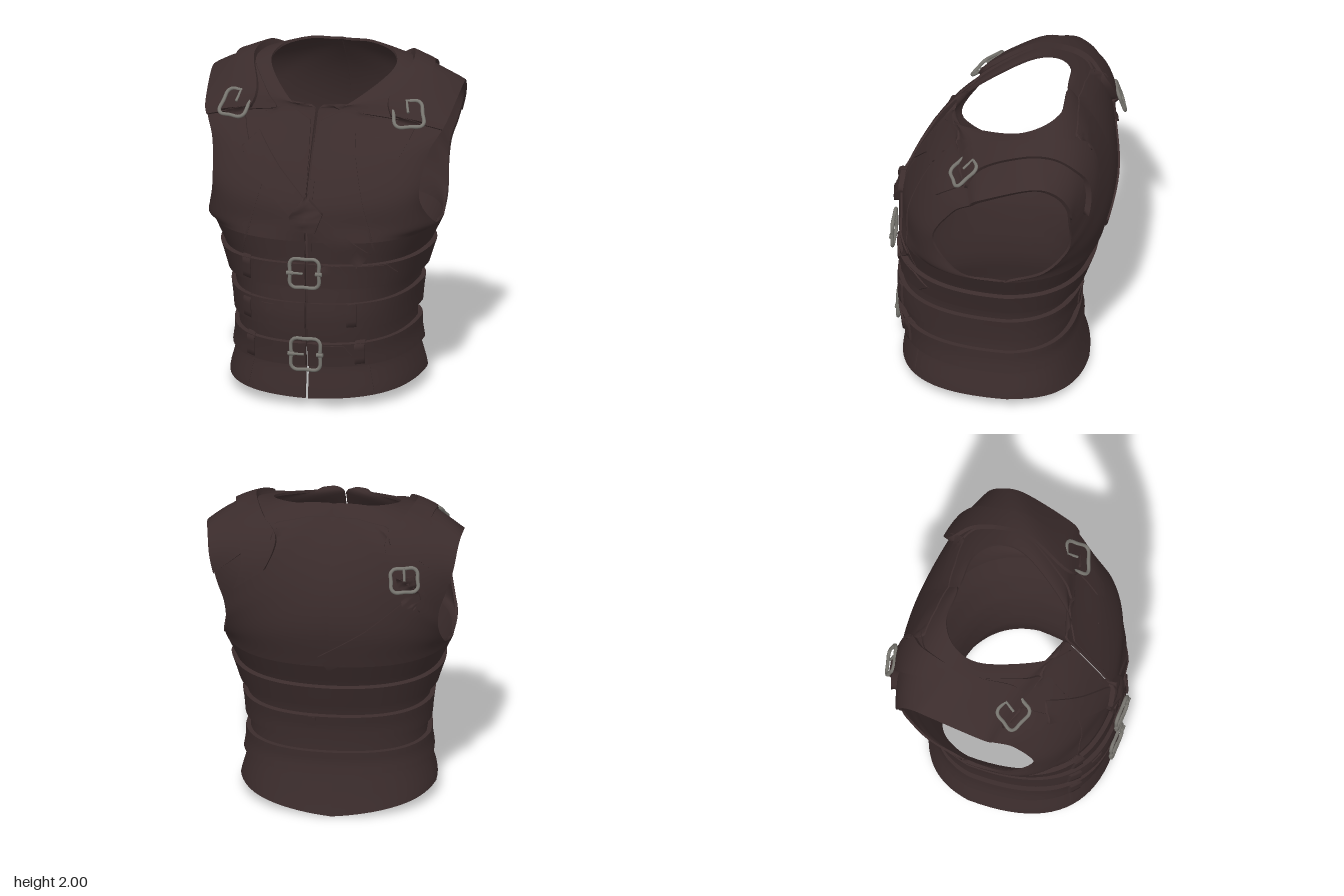
import * as THREE from 'three';

const V = (x, y, z) => new THREE.Vector3(x, y, z);
const lerp = THREE.MathUtils.lerp;
const spline = (pts) => new THREE.CatmullRomCurve3(pts.map((p) => V(...p)));

export function createModel() {
  const group = new THREE.Group();
  const leather = new THREE.MeshStandardMaterial({ color: 0x3b2c2c, side: THREE.DoubleSide });
  leather.name = 'dark leather';
  const metal = new THREE.MeshStandardMaterial({ color: 0x77756f });
  metal.name = 'dull steel';

  // Thick sheet over a surface fn(u, v), between the offsets lo and hi
  function slab(name, fn, nu, nv, lo, hi, dir) {
    const grid = new THREE.BufferGeometry(), P = [], idx = [];
    for (let j = 0; j <= nv; j++) for (let i = 0; i <= nu; i++) P.push(fn(i / nu, j / nv));
    const id = (i, j) => j * (nu + 1) + i;
    for (let j = 0; j < nv; j++) for (let i = 0; i < nu; i++) {
      const a = id(i, j), b = id(i + 1, j), c = id(i + 1, j + 1), d = id(i, j + 1);
      idx.push(a, b, c, a, c, d);
    }
    grid.setFromPoints(P).setIndex(idx);
    grid.computeVertexNormals();
    const n = grid.attributes.normal;
    const shift = (k, h) => P[k].clone().addScaledVector(dir || V().fromBufferAttribute(n, k), h);
    const pts = [...P.map((_, k) => shift(k, hi)), ...P.map((_, k) => shift(k, lo))];
    const all = [...idx];
    for (let k = 0; k < idx.length; k += 3) all.push(idx[k] + P.length, idx[k + 2] + P.length, idx[k + 1] + P.length);
    // rim wall
    const rim = [];
    for (let i = 0; i < nu; i++) rim.push(id(i, 0));
    for (let j = 0; j < nv; j++) rim.push(id(nu, j));
    for (let i = nu; i > 0; i--) rim.push(id(i, nv));
    for (let j = nv; j > 0; j--) rim.push(id(0, j));
    const base = pts.length;
    for (const k of rim) pts.push(shift(k, lo), shift(k, hi));
    for (let k = 0; k < rim.length; k++) {
      const a = base + 2 * k, b = base + 2 * ((k + 1) % rim.length);
      all.push(a, b, b + 1, a, b + 1, a + 1);
    }
    const geo = new THREE.BufferGeometry().setFromPoints(pts).setIndex(all);
    geo.computeVertexNormals();
    const mesh = new THREE.Mesh(geo, leather);
    mesh.name = name;
    group.add(mesh);
  }
  const mirrored = (fn) => (u, v) => { const p = fn(1 - u, v); p.x = -p.x; return p; };
  function pair(name, fn, ...rest) {
    slab(name + 'Left', fn, ...rest);
    slab(name + 'Right', mirrored(fn), ...rest);
  }

  // Upper half: three guide curves run up the chest, over the shoulder and down the back
  const neckEdge = spline([[0, 1.03, .6], [0, 1.13, .61], [0, 1.27, .585], [0, 1.5, .47], [0, 1.76, .31],
    [.16, 1.785, .25], [.36, 1.9, -.08], [.355, 1.96, -.27], [.22, 1.99, -.385], [0, 2, -.4],
    [0, 1.8, -.55], [0, 1.55, -.65], [0, 1.3, -.675], [0, 1.03, -.62]]);
  const middle = spline([[.515, 1.03, .435], [.51, 1.1, .45], [.41, 1.27, .49], [.4, 1.51, .37], [.4, 1.69, .2],
    [.45, 1.79, .09], [.55, 1.895, -.17], [.54, 1.89, -.35], [.5, 1.84, -.48], [.38, 1.76, -.57],
    [.38, 1.6, -.61], [.4, 1.42, -.62], [.43, 1.22, -.59], [.48, 1.03, -.49]]);
  const armhole = spline([[.685, 1.03, -.1], [.685, 1.07, .16], [.63, 1.27, .34], [.655, 1.5, .22], [.71, 1.61, .1],
    [.735, 1.67, .02], [.757, 1.79, -.27], [.745, 1.76, -.41], [.725, 1.65, -.49], [.685, 1.5, -.5],
    [.645, 1.38, -.5], [.635, 1.25, -.47], [.66, 1.1, -.33], [.685, 1.03, -.1]]);
  for (const c of [neckEdge, middle, armhole]) c.curveType = 'catmullrom';
  const last = middle.points.length - 1;
  // Rounded section through the three guides
  const upper = (t, s) => {
    const [a, m, b] = [neckEdge, middle, armhole].map((c) => c.getPoint(s / last));
    const corner = m.multiplyScalar(2).addScaledVector(a, -.5).addScaledVector(b, -.5);
    const p = new THREE.QuadraticBezierCurve3(a, corner, b).getPoint(t);
    p.x = Math.max(p.x, s < 4.4 ? .008 : 0);
    p.y = Math.min(p.y, 2);
    return p;
  };
  pair('upperBody', (u, v) => upper(u, v * last), 20, 78, -.015, 0);

  // Lower tube: the underarm ring scaled by [height, half width, front, back]
  const hem = spline([.05, .068, .08, .05, .003].map((y) => [0, y, 0]));
  const sizes = [[0, .595, .595, .52], [.1, .582, .582, .49], [.25, .54, .555, .455], [.33, .527, .565, .44],
    [.45, .525, .585, .445], [.57, .535, .595, .455], [.68, .55, .587, .48], [.75, .57, .58, .505],
    [.88, .612, .582, .55], [1.03, .685, .6, .62]];
  const lower = (a, y) => {
    let k = 1;
    while (k < sizes.length - 1 && y > sizes[k][0]) k++;
    const A = sizes[k - 1], B = sizes[k], f = (y - A[0]) / (B[0] - A[0]);
    const [w, zf, zb] = [1, 2, 3].map((i) => lerp(A[i], B[i], f));
    const p = a < .5 ? upper(2 * a, 0) : upper(2 - 2 * a, last), d = p.z + .1;
    return V(p.x * w / .685, y, -.1 + d * (d > 0 ? (zf + .1) / .7 : (zb - .1) / .52));
  };
  pair('lowerBody', (u, v) => {
    const p = lower(u, lerp(hem.getPoint(u).y, 1.03, v));
    if (u < .5) p.x = Math.max(p.x, .008);
    return p;
  }, 40, 28, -.015, 0);

  // Waist belts
  for (const [name, y0, y1, rise] of [['upperBelt', .73, .875, .02], ['middleBelt', .495, .65, 0], ['lowerBelt', .255, .4, 0]])
    slab(name, (u, v) => {
      const a = 1 - Math.abs(1 - 2 * u);
      const p = lower(a, lerp(y0, y1, v) + rise * (1 - a));
      if (u > .5) p.x = -p.x;
      return p;
    }, 96, 4, 0, .028);

  // Shoulder caps and the straps that run over them
  pair('shoulderCap', (u, v) => upper(lerp(.3, 1, u), lerp(4.1, 8.6, v)), 14, 30, -.004, .014);
  pair('shoulderStrap', (u, v) => upper(lerp(.52, .82, u) - .26 * Math.sin(Math.PI * v), lerp(4.15, 9.7, v)), 8, 36, 0, .038);

  // Flat pieces laid on the front or back: two edges in x and y, dropped onto the surface
  const caster = new THREE.Raycaster();
  function panel(name, A, B, hi = .012, side = 1) {
    const cross = (B[0][0] - A[0][0]) * (A[1][1] + B[1][1] - A[0][1] - B[0][1])
      - (B[0][1] - A[0][1]) * (A[1][0] + B[1][0] - A[0][0] - B[0][0]);
    if (cross * side < 0) [A, B] = [B, A];
    const targets = [...group.children], dir = V(0, 0, side);
    const at = (E, v) => {
      const f = v * (E.length - 1), k = Math.min(Math.floor(f), E.length - 2);
      return [0, 1].map((i) => lerp(E[k][i], E[k + 1][i], f - k));
    };
    let z = .4 * side;
    slab(name, (u, v) => {
      const a = at(A, v), b = at(B, v), x = lerp(a[0], b[0], u), y = lerp(a[1], b[1], u);
      caster.set(V(x, y, 3 * side), V(0, 0, -side));
      const hit = caster.intersectObjects(targets, false)[0];
      if (hit && hit.point.z * side > 0) z = hit.point.z;
      return V(x, y, z);
    }, 4, 6 * (A.length - 1), -.008, hi, dir);
  }
  // Strip along a path, with an optional pointed end
  function strip(name, path, w, hi, side, tip) {
    const A = [], B = [];
    path.forEach((p, k) => {
      const q = path[Math.max(k - 1, 0)], r = path[Math.min(k + 1, path.length - 1)];
      const dx = r[0] - q[0], dy = r[1] - q[1], l = Math.hypot(dx, dy) * 2 / w;
      A.push([p[0] - dy / l, p[1] + dx / l]);
      B.push([p[0] + dy / l, p[1] - dx / l]);
      if (tip && k === path.length - 1) {
        const e = [p[0] + dx / l * .8, p[1] + dy / l * .8];
        A.push(e);
        B.push(e);
      }
    });
    panel(name, A, B, hi, side);
  }

  // Seams, lapels and shoulder strap ends on both halves
  for (const m of [1, -1]) {
    const f = (pts) => pts.map(([x, y]) => [m * x, y]);
    strip('chestSeam', f([[.25, 1.53], [.33, 1.22], [.42, .9]]), .012, .005);
    strip('skirtSeam', f([[.35, .24], [.38, .09]]), .012, .005);
    strip('frontEdge', f([[.022, 1.4], [.022, .92]]), .024, .006);
    panel('lapel', f([[.33, 1.71], [.24, 1.64], [.25, 1.56], [.12, 1.53], [.02, 1.4]]),
      f([[.2, 1.765], [.12, 1.745], [.03, 1.71], [.015, 1.55], [.012, 1.41]]), .01);
    strip('shoulderStrapEnd', f([[.53, 1.7], [.49, 1.6], [.455, 1.53]]), .11, .014, 1, true);
  }
  panel('backYoke', [[-.34, 1.9], [-.15, 1.94], [.15, 1.94], [.34, 1.9]],
    [[-.36, 1.83], [-.15, 1.86], [.15, 1.86], [.36, 1.83]], .008, -1);

  // Diagonal straps and the knot on the chest
  strip('chestStrap', [[-.4, 1.57], [-.24, 1.4], [-.04, 1.22]], .14, .014);
  strip('chestStrapTail', [[0, 1.18], [.16, 1.06], [.34, .91]], .11, .012);
  panel('knot', [[-.02, 1.3], [-.1, 1.19], [-.1, 1.11]], [[0, 1.31], [.1, 1.21], [.06, 1.1]], .03);
  strip('backStrap', [[.04, 1.05], [-.25, 1.24], [-.5, 1.44]], .12, .014, -1);
  strip('backStrapEnd', [[-.45, 1.64], [-.47, 1.54], [-.49, 1.46]], .11, .014, -1, true);

  // Belt tabs and keeper loops
  strip('upperBeltTab', [[.06, .835], [.2, .83]], .12, .012, 1, true);
  strip('upperSideTab', [[.3, .825], [.46, .815]], .13, .012, 1, true);
  strip('lowerBeltTab', [[.06, .33], [.22, .325]], .12, .012, 1, true);
  strip('backBeltJoin', [[.12, .5], [.12, .64]], .05, .008, -1);
  for (const [x, y] of [[-.38, .82], [-.38, .57], [.27, .57], [.31, .33], [-.36, .33]])
    strip('beltLoop', [[x, y - .08], [x, y + .08]], .055, .014);
  panel('beltNotch', [[-.28, .63], [-.24, .56]], [[-.19, .63], [-.24, .56]], .008);

  // Buckles: rounded frame with a prong
  function buckle(name, w, h, pos, normal, upright) {
    const g = new THREE.Group(), x = w / 2, y = h / 2, c = .022;
    const path = spline([[x, -y + c, 0], [x, 0, 0], [x, y - c, 0], [x - c, y, 0], [0, y, 0], [c - x, y, 0],
      [-x, y - c, 0], [-x, 0, 0], [-x, c - y, 0], [c - x, -y, 0], [0, -y, 0], [x - c, -y, 0]]);
    path.closed = true;
    g.add(new THREE.Mesh(new THREE.TubeGeometry(path, 64, .011, 8, true), metal));
    const prong = new THREE.Mesh(new THREE.CylinderGeometry(.008, .008, w * .5, 8), metal);
    if (upright) prong.position.set(0, y - w * .22, .006);
    else {
      prong.rotation.z = Math.PI / 2;
      prong.position.set(-x + w * .2, 0, .008);
    }
    g.add(prong);
    for (const e of upright ? [] : [-1, 1]) {
      const hinge = new THREE.Mesh(new THREE.CylinderGeometry(.013, .013, .04, 8), metal);
      hinge.position.set(e * x, 0, .004);
      hinge.rotation.z = Math.PI / 2;
      g.add(hinge);
    }
    g.position.copy(pos);
    g.lookAt(pos.clone().add(normal));
    g.name = name;
    group.add(g);
  }
  buckle('upperBeltBuckle', .175, .175, V(0, .85, .652), V(0, 0, 1));
  buckle('lowerBeltBuckle', .175, .19, V(0, .335, .618), V(0, 0, 1));
  for (const m of [1, -1])
    buckle('shoulderBuckle', .175, .175, V(m * .525, 1.73, .165), V(m * .25, .75, .65), true);
  buckle('backBuckle', .16, .14, V(-.45, 1.63, -.645), V(-.25, .3, -.9), true);

  return group;
}
